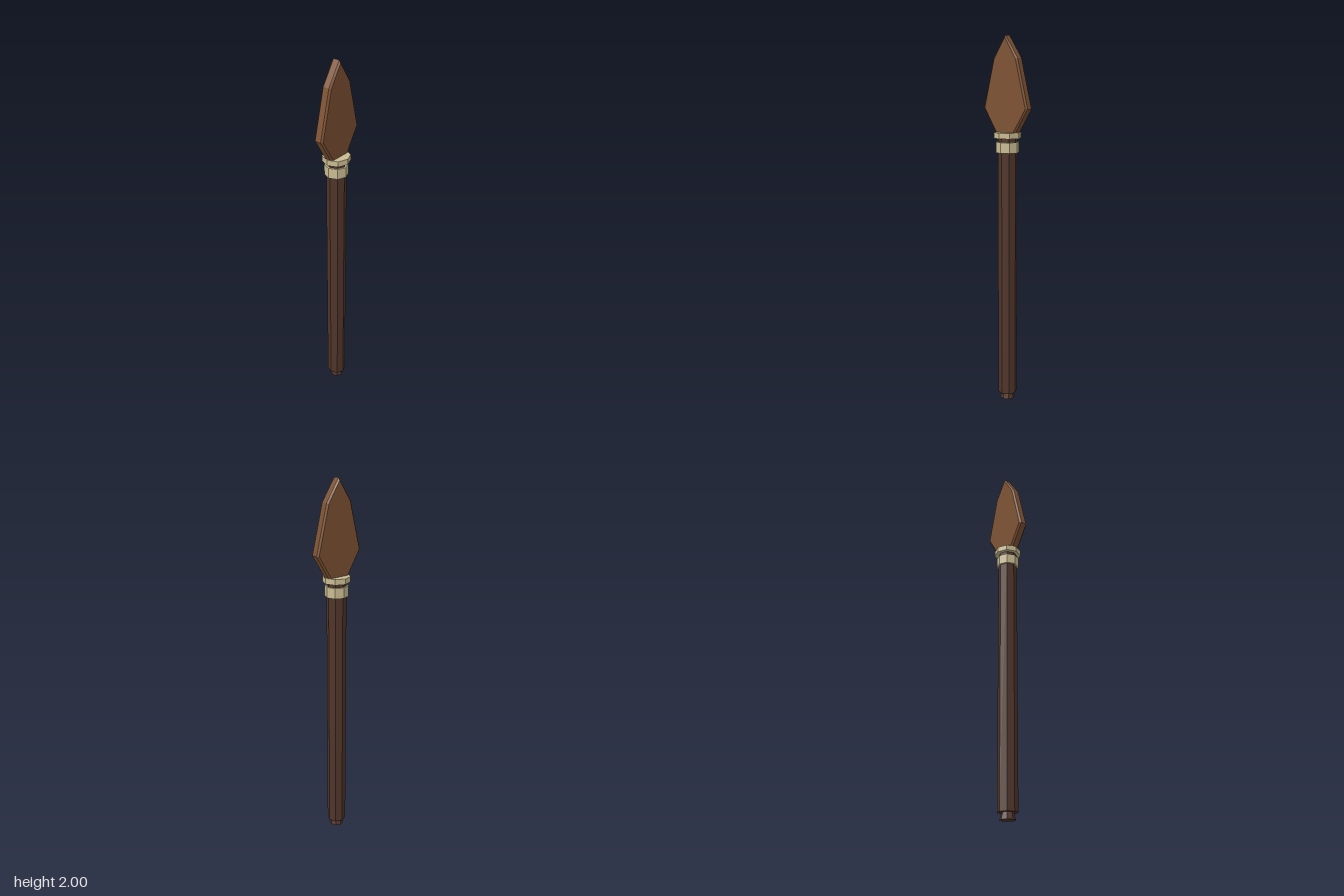
import * as THREE from 'three';

export function createModel() {
  const group = new THREE.Group();
  const make = (name, color) => {
    const m = new THREE.MeshStandardMaterial({ color, flatShading: true });
    m.name = name;
    return m;
  };
  const darkWood = make('darkWood', 0x50352a);
  const bladeWood = make('bladeWood', 0x7d5233);
  const binding = make('binding', 0xcabc92);

  // Eight-sided section between two heights
  const section = (name, y0, y1, r0, r1, material) => {
    const mesh = new THREE.Mesh(new THREE.CylinderGeometry(r1, r0, y1 - y0, 8), material);
    mesh.position.y = (y0 + y1) / 2;
    mesh.name = name;
    group.add(mesh);
  };
  section('buttCap', 0, 0.036, 0.041, 0.031, darkWood);
  section('shaft', 0.036, 1.49, 0.052, 0.052, darkWood);
  section('lowerRing', 1.4, 1.456, 0.062, 0.062, binding);
  section('upperRing', 1.476, 1.506, 0.073, 0.073, binding);

  // Leaf-shaped blade with bevelled edges
  const half = [[0.058, 1.495], [0.14, 1.63], [0.076, 1.885]];
  const outline = [...half, [0, 2], ...half.map(([x, y]) => [-x, y]).reverse()];
  const bevel = 0.009;
  const geometry = new THREE.ExtrudeGeometry(
    new THREE.Shape(outline.map(([x, y]) => new THREE.Vector2(x, y))),
    { depth: 0.034, bevelEnabled: true, bevelSegments: 1, bevelSize: bevel, bevelThickness: bevel, bevelOffset: -bevel }
  );
  geometry.translate(0, 0, -0.017);
  const blade = new THREE.Mesh(geometry, bladeWood);
  blade.name = 'blade';
  group.add(blade);

  return group;
}
